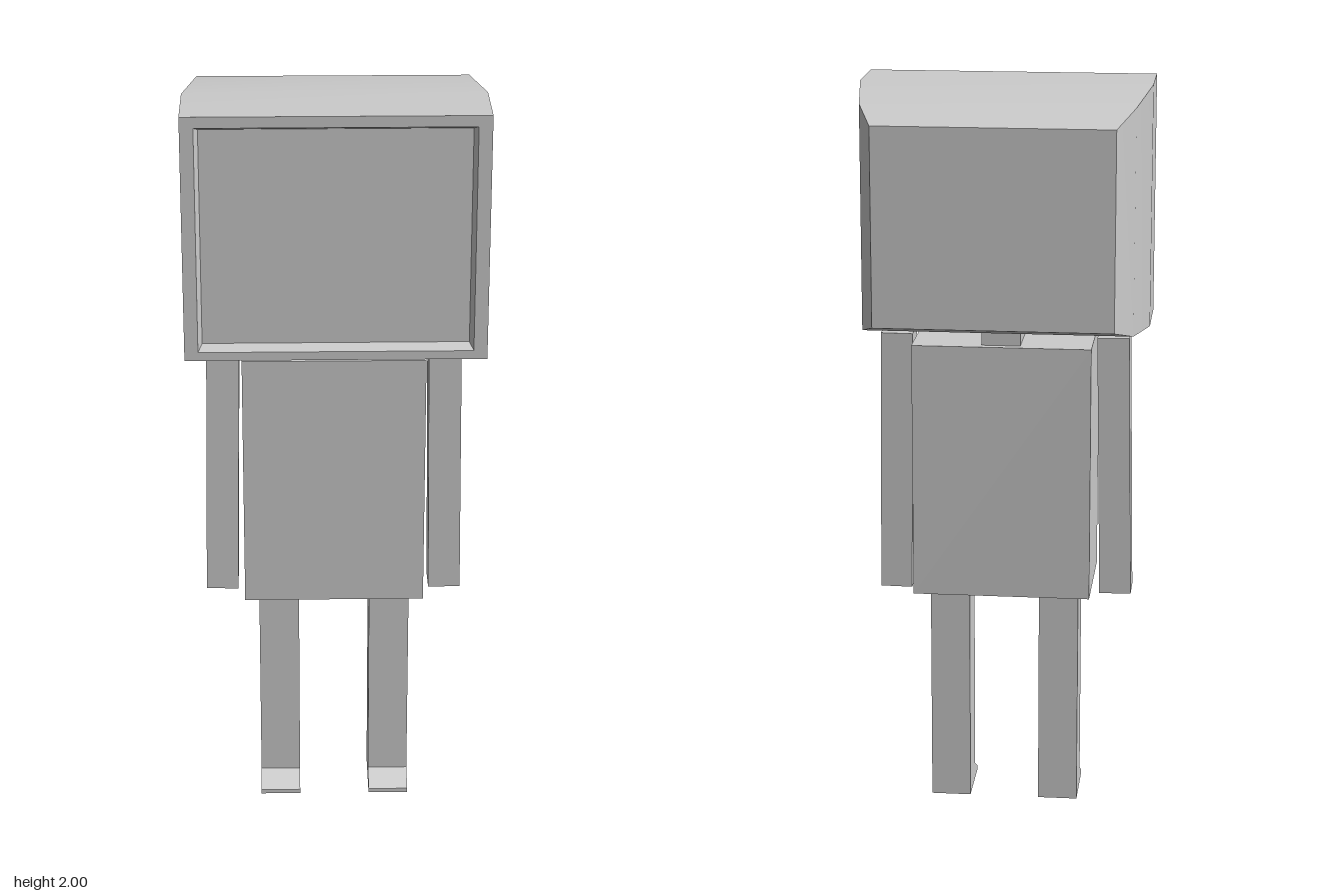
import * as THREE from 'three';
import { toCreasedNormals } from 'three/addons/utils/BufferGeometryUtils.js';

const material = new THREE.MeshStandardMaterial({ color: 0xcccccc });

function part(name, geometry, parent) {
  const mesh = new THREE.Mesh(geometry, material);
  mesh.name = name;
  parent.add(mesh);
  return mesh;
}

// Box given by its lower and upper corners
function block(name, [x0, y0, z0], [x1, y1, z1], parent) {
  const mesh = part(name, new THREE.BoxGeometry(x1 - x0, y1 - y0, z1 - z0), parent);
  mesh.position.set((x0 + x1) / 2, (y0 + y1) / 2, (z0 + z1) / 2);
  return mesh;
}

// Joins rectangles [z, halfWidth, bottom, top] in order and caps both ends
function loftRectangles(sections) {
  const positions = [];
  const index = [];
  for (const [z, w, y0, y1] of sections) {
    positions.push(-w, y0, z, w, y0, z, w, y1, z, -w, y1, z);
  }
  for (let s = 0; s < sections.length - 1; s++) {
    for (let i = 0; i < 4; i++) {
      const a = s * 4 + i, b = s * 4 + (i + 1) % 4;
      index.push(a, a + 4, b, b, a + 4, b + 4);
    }
  }
  const e = (sections.length - 1) * 4;
  index.push(0, 1, 2, 0, 2, 3, e, e + 2, e + 1, e, e + 3, e + 2);
  const geometry = new THREE.BufferGeometry();
  geometry.setAttribute('position', new THREE.Float32BufferAttribute(positions, 3));
  geometry.setIndex(index);
  return toCreasedNormals(geometry, 0.5);
}

// Leg with a wedge toe: side profile (z, y) extruded across the width
function legGeometry(width) {
  const profile = new THREE.Shape([
    [0.005, 0], [0.185, 0], [0.185, 0.012], [0.125, 0.045], [0.125, 0.635], [0.008, 0.635],
  ].map(([z, y]) => new THREE.Vector2(-z, y)));
  const geometry = new THREE.ExtrudeGeometry(profile, { depth: width, bevelEnabled: false });
  geometry.translate(0, 0, -width / 2);
  geometry.rotateY(Math.PI / 2);
  return geometry;
}

export function createModel() {
  const model = new THREE.Group();
  model.name = 'boxHeadedFigure';

  // Head: recessed screen, frame, then a shell narrowing to the back
  part('head', loftRectangles([
    [0.24, 0.343, 1.385, 1.958],
    [0.272, 0.353, 1.373, 1.971],
    [0.272, 0.388, 1.35, 2.0],
    [0.08, 0.388, 1.35, 2.0],
    [-0.155, 0.356, 1.378, 1.975],
    [-0.273, 0.313, 1.413, 1.938],
  ]), model);

  block('neck', [-0.053, 1.32, -0.075], [0.05, 1.39, 0.2], model);
  block('torso', [-0.243, 0.63, -0.097], [0.235, 1.325, 0.22], model);

  // Arms hang slightly outwards
  for (const [name, x, tilt] of [['rightArm', -0.3, -0.017], ['leftArm', 0.294, 0.011]]) {
    const arm = part(name, new THREE.BoxGeometry(0.086, 0.72, 0.088), model);
    arm.position.set(x, 0.968, 0.065);
    arm.rotation.z = tilt;
  }

  // Legs with toes
  const leg = legGeometry(0.108);
  part('rightLeg', leg, model).position.x = -0.152;
  part('leftLeg', leg, model).position.x = 0.147;

  return model;
}
